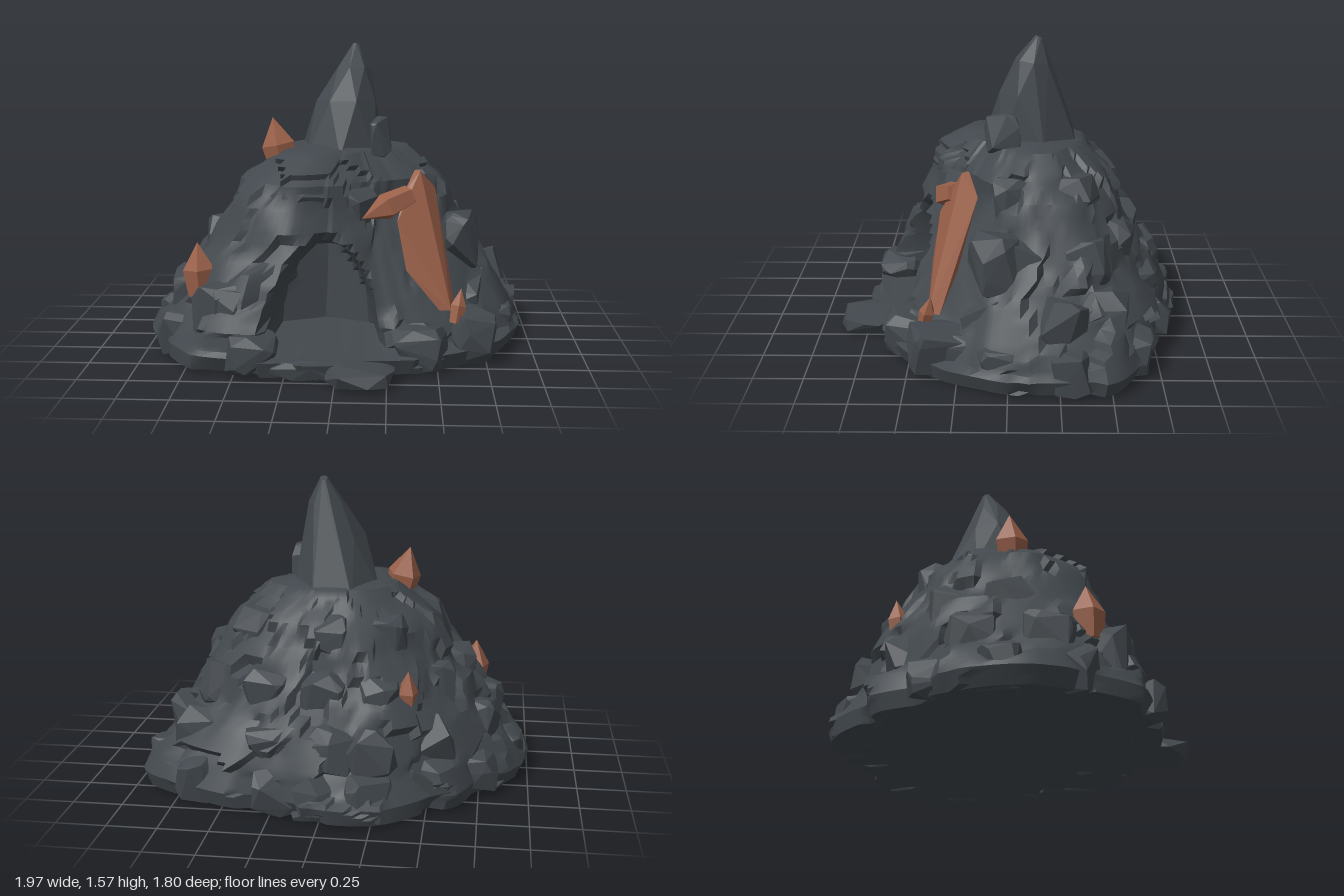
import * as THREE from 'three';
import { toCreasedNormals } from 'three/addons/utils/BufferGeometryUtils.js';
import { ConvexGeometry } from 'three/addons/geometries/ConvexGeometry.js';

const { lerp, clamp } = THREE.MathUtils;
const TURN = Math.PI * 2;

function seeded(seed) {
  let s = seed;
  return () => {
    s = (s + 0x6d2b79f5) | 0;
    let t = Math.imul(s ^ (s >>> 15), 1 | s);
    t = (t + Math.imul(t ^ (t >>> 7), 61 | t)) ^ t;
    return ((t ^ (t >>> 14)) >>> 0) / 4294967296;
  };
}

// Outline radii at the foot and at the shoulder, from the front turning towards +x
const CENTRE_Z = -0.1;
const FOOT = [0.82, 0.82, 0.88, 0.92, 0.97, 1.01, 0.88, 0.78, 0.76, 0.82, 0.81, 0.86, 0.96, 1.03, 1, 0.92];
const SHOULDER = [0.47, 0.37, 0.37, 0.45, 0.52, 0.52, 0.47, 0.42, 0.4, 0.41, 0.43, 0.46, 0.49, 0.53, 0.58, 0.58];
// Height, blend from foot to shoulder, scale
const PROFILE = [
  [0.04, 0, 0], [0.02, 0, 0.97], [0.1, 0, 1], [0.22, 0.12, 1], [0.4, 0.36, 1],
  [0.62, 0.64, 1], [0.9, 1, 1], [1.04, 1, 0.65], [1.1, 1, 0],
];

function mix(a, b, t) {
  return a.map((n, i) => lerp(n, b[i], t));
}

function moundRadius(angle, [y, blend, scale]) {
  const u = (angle / TURN) * 16, m = Math.floor(u) % 16, n = (m + 1) % 16, f = u - Math.floor(u);
  // The front steps back sooner, next to the cave mouth
  const front = y > 0.1 ? 0.22 * Math.max(0, Math.cos(angle - 0.4)) ** 2 : 0;
  const w = Math.min(1, blend + front);
  return scale * lerp(lerp(FOOT[m], FOOT[n], f), lerp(SHOULDER[m], SHOULDER[n], f), w);
}

function moundGeometry() {
  const rand = seeded(11), COLS = 120, SUB = 5;
  // Each chunk is a tilted facet that shifts the surface near its seed
  const chunks = Array.from({ length: 150 }, () => {
    const a = rand() * TURN, y = rand() * 1.05, r = 0.95 - 0.6 * y;
    return {
      p: new THREE.Vector3(Math.sin(a) * r, y, Math.cos(a) * r + CENTRE_Z),
      tilt: new THREE.Vector3(rand() - 0.5, rand() - 0.5, rand() - 0.5).multiplyScalar(0.5),
      push: (rand() - 0.55) * 0.05,
    };
  });
  const pos = [], index = [], v = new THREE.Vector3(), d = new THREE.Vector3();
  const rows = (PROFILE.length - 1) * SUB + 1;
  for (let j = 0; j < rows; j++) {
    const k = Math.min(Math.floor(j / SUB), PROFILE.length - 2);
    const level = mix(PROFILE[k], PROFILE[k + 1], j / SUB - k), y = level[0];
    for (let i = 0; i < COLS; i++) {
      const a = (i / COLS) * TURN;
      let r = moundRadius(a, level);
      v.set(Math.sin(a) * r, y, Math.cos(a) * r + CENTRE_Z);
      if (k > 0) {
        let best = chunks[0];
        for (const c of chunks) if (c.p.distanceToSquared(v) < best.p.distanceToSquared(v)) best = c;
        const shift = best.push + d.copy(v).sub(best.p).dot(best.tilt);
        const calm = a > 0.5 && a < 1.3 ? 0.3 : 1;
        r += clamp(shift, -0.06, 0.03) * calm * Math.min(1, r * 3);
        v.set(Math.sin(a) * r, y, Math.cos(a) * r + CENTRE_Z);
      }
      // Arched cave hollow in the front
      const side = v.x + 0.07, e = (side / 0.3) ** 2 + (y / 0.65) ** 2;
      if (v.z > 0 && y > 0.11 && e < 1) {
        const back = Math.min(v.z, 0.02 + Math.abs(side) * 0.4);
        v.z = lerp(v.z, back, Math.min(1, (1 - e) * 3.5));
      }
      pos.push(v.x, v.y, v.z);
    }
  }
  for (let j = 0; j < rows - 1; j++) {
    for (let i = 0; i < COLS; i++) {
      const a = j * COLS + i, b = j * COLS + ((i + 1) % COLS);
      index.push(a, b, b + COLS, a, b + COLS, a + COLS);
    }
  }
  const g = new THREE.BufferGeometry();
  g.setAttribute('position', new THREE.Float32BufferAttribute(pos, 3));
  g.setIndex(index);
  return toCreasedNormals(g, 0.55);
}

// Angular boulder: hull of random points on a boxy ellipsoid
function boulderGeometry(x, y, z, sx, sy, sz, rand) {
  const boxy = (c) => Math.sign(c) * Math.abs(c) ** 0.6;
  return new ConvexGeometry(Array.from({ length: 24 }, () => {
    const h = rand() * 2 - 1, a = rand() * TURN, w = Math.sqrt(1 - h * h);
    return new THREE.Vector3(
      x + boxy(w * Math.cos(a)) * sx, Math.max(0.01, y + boxy(h) * sy), z + boxy(w * Math.sin(a)) * sz);
  }));
}

// Pointed peak: hull of twisted rings, each y, centre x and z, half width and depth
function spireGeometry() {
  const rings = [
    [1, 0, -0.12, 0.23, 0.26], [1.28, 0.025, -0.09, 0.16, 0.15],
    [1.45, 0.06, -0.12, 0.09, 0.09], [1.57, 0.07, -0.15, 0.02, 0.02],
  ];
  const pts = rings.flatMap(([y, x, z, rx, rz], j) => Array.from({ length: 7 }, (_, i) => {
    const a = (i / 7) * TURN + j * 0.35;
    return new THREE.Vector3(x + Math.sin(a) * rx, y + 0.01 * Math.cos(a), z + Math.cos(a) * rz);
  }));
  return new ConvexGeometry(pts);
}

// Five-sided crystal from a base point to a tip
function crystalGeometry(base, tip, radius) {
  const foot = new THREE.Vector3(...base), top = new THREE.Vector3(...tip);
  const turn = new THREE.Quaternion().setFromUnitVectors(
    new THREE.Vector3(0, 1, 0), top.clone().sub(foot).normalize());
  const pts = [top];
  for (const [along, width] of [[0, 0.8], [0.5, 1]]) {
    for (let i = 0; i < 5; i++) {
      const a = (i / 5) * TURN, r = radius * width;
      pts.push(new THREE.Vector3(Math.sin(a) * r, 0, Math.cos(a) * r)
        .applyQuaternion(turn).add(foot.clone().lerp(top, along)));
    }
  }
  return new ConvexGeometry(pts);
}

// Slab of crystal facing forward and left: x, y, z and half width down its length
function veinGeometry() {
  const sections = [
    [0.39, 0.96, 0.2, 0.01], [0.41, 0.86, 0.21, 0.1], [0.4, 0.72, 0.27, 0.13],
    [0.43, 0.48, 0.32, 0.11], [0.55, 0.28, 0.37, 0.05],
  ];
  return new ConvexGeometry(sections.flatMap(([x, y, z, w]) => [
    new THREE.Vector3(x - 0.8 * w, y, z + 0.6 * w),
    new THREE.Vector3(x + 0.8 * w, y, z - 0.6 * w),
    new THREE.Vector3(x + 0.02, y, z + 0.03),
  ]));
}

export function createModel() {
  const model = new THREE.Group();
  const rock = new THREE.MeshStandardMaterial({ color: 0x42484d });
  rock.name = 'slate rock';
  const rust = new THREE.MeshStandardMaterial({ color: 0x9a6049 });
  rust.name = 'rust crystal';
  const add = (name, geometry, material) => {
    const mesh = new THREE.Mesh(geometry, material);
    mesh.name = name;
    model.add(mesh);
  };

  add('mound', moundGeometry(), rock);
  add('spire', spireGeometry(), rock);

  // Rings of half-buried boulders: count, profile row, blend to the next row, size
  const rand = seeded(5);
  for (const [count, row, t, size] of [[15, 2, 0.2, 0.12], [13, 3, 0.5, 0.14], [11, 4, 0.7, 0.13], [7, 5, 0.7, 0.12]]) {
    const level = mix(PROFILE[row], PROFILE[row + 1], t);
    for (let i = 0; i < count; i++) {
      const a = ((i + 0.3 + rand() * 0.4) / count) * TURN;
      const r = moundRadius(a, level) - size * 0.85;
      const x = Math.sin(a) * r, z = Math.cos(a) * r + CENTRE_Z;
      const inCave = z > 0 && Math.abs(x + 0.07) < 0.42;
      const inVein = a > 0.4 && a < 1.2 && row > 2;
      if (!inCave && !inVein) add('boulder', boulderGeometry(x, level[0], z, size, size * 1.1, size, rand), rock);
    }
  }

  // Larger rocks: centre then half sizes
  for (const b of [
    [0.12, 0.06, 0.74, 0.17, 0.05, 0.16], [-0.16, 0.06, 0.66, 0.17, 0.05, 0.1],
    [-0.56, 0.24, 0.46, 0.17, 0.22, 0.16], [-0.42, 0.12, 0.62, 0.14, 0.11, 0.13],
    [0.4, 0.12, 0.5, 0.16, 0.12, 0.14], [0.68, 0.16, 0.34, 0.12, 0.16, 0.16],
    [0.62, 0.55, 0.06, 0.1, 0.19, 0.14], [0.2, 1.1, 0.03, 0.07, 0.11, 0.1],
    [-0.22, 0.8, 0.3, 0.17, 0.11, 0.12], [0.06, 0.77, 0.25, 0.14, 0.12, 0.09],
  ]) add('largeRock', boulderGeometry(...b, rand), rock);

  // Crystals
  add('topCrystal', crystalGeometry([-0.3, 0.92, 0.01], [-0.36, 1.2, 0], 0.09), rust);
  add('leftSideCrystal', crystalGeometry([-0.69, 0.34, 0.38], [-0.71, 0.61, 0.37], 0.085), rust);
  add('backCrystal', crystalGeometry([-0.39, 0.48, -0.54], [-0.4, 0.7, -0.56], 0.055), rust);
  add('smallFrontCrystal', crystalGeometry([0.59, 0.22, 0.42], [0.62, 0.39, 0.38], 0.04), rust);
  add('frontVein', veinGeometry(), rust);
  add('frontVeinArm', crystalGeometry([0.36, 0.84, 0.26], [0.12, 0.74, 0.38], 0.07), rust);

  return model;
}
